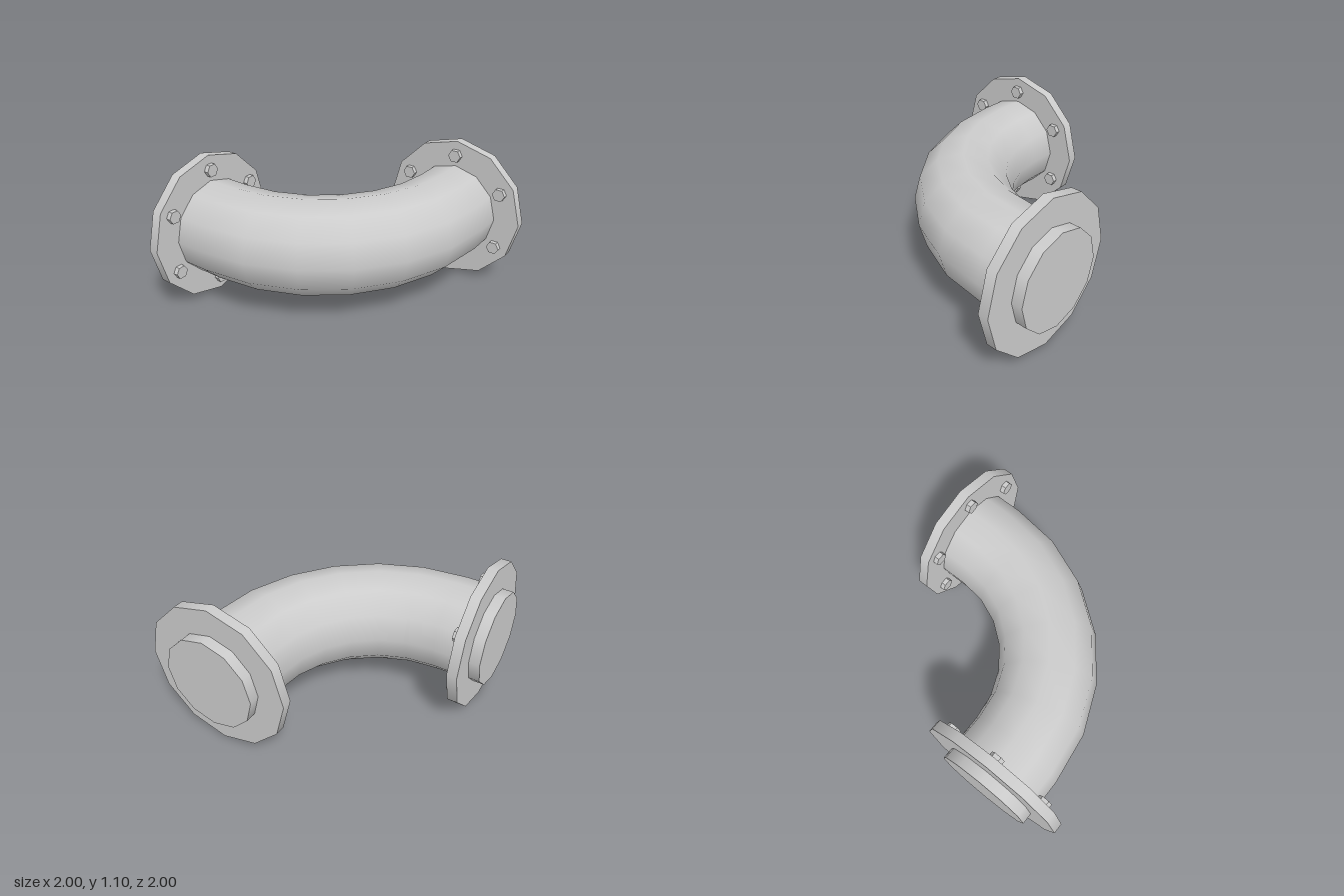
import * as THREE from 'three';

const AXIS = 0.55;        // height of the pipe centreline
const OFFSET = 0.45;      // sideways offset of each port axis
const PIPE_R = 0.355;
const BEND_R = 1.1;
const BEND_START = 0.65;  // where the straight runs meet the bend

export function createModel() {
  const smooth = new THREE.MeshStandardMaterial({ color: 0xcccccc });
  const faceted = new THREE.MeshStandardMaterial({ color: 0xcccccc, flatShading: true });
  const model = new THREE.Group();
  model.name = 'flangedElbow';

  // Cylinder along local y, spanning from y0 to y1
  function cylinder(name, radius, y0, y1, sides, material, open = false) {
    const geometry = new THREE.CylinderGeometry(radius, radius, y1 - y0, sides, 1, open);
    const mesh = new THREE.Mesh(geometry, material);
    mesh.name = name;
    mesh.position.y = (y0 + y1) / 2;
    return mesh;
  }

  // One pipe end, pointing along +x: straight run, flange, closed stub, bolts
  function createPort(name) {
    const port = new THREE.Group();
    port.name = name;
    const parts = new THREE.Group();
    parts.name = name + 'Parts';
    parts.rotation.z = -Math.PI / 2;
    port.add(parts);

    parts.add(
      cylinder('straightPipe', PIPE_R, BEND_START, 0.86, 12, smooth, true),
      cylinder('flange', 0.55, 0.845, 0.92, 12, smooth),
      cylinder('endStub', 0.35, 0.9, 1, 12, smooth)
    );

    // Ring of hexagonal bolt heads on the inner flange face
    for (let i = 0; i < 6; i++) {
      const angle = (i * Math.PI) / 3;
      const bolt = cylinder('bolt', 0.05, 0.81, 0.85, 6, faceted);
      bolt.position.x = 0.44 * Math.cos(angle);
      bolt.position.z = 0.44 * Math.sin(angle);
      parts.add(bolt);
    }
    return port;
  }

  // Quarter bend, swept horizontally from the back port to the left port
  const bendGeometry = new THREE.TorusGeometry(BEND_R, PIPE_R, 12, 6, Math.PI / 2);
  bendGeometry.rotateX(Math.PI / 2);
  bendGeometry.rotateY(-Math.PI / 2);
  const bend = new THREE.Mesh(bendGeometry, smooth);
  bend.name = 'bend';
  bend.position.set(BEND_START, AXIS, -BEND_START);
  model.add(bend);

  const leftPort = createPort('leftPort');
  leftPort.position.set(0, AXIS, OFFSET);
  const backPort = createPort('backPort');
  backPort.rotation.y = Math.PI / 2;
  backPort.position.set(-OFFSET, AXIS, 0);
  model.add(leftPort, backPort);

  return model;
}
